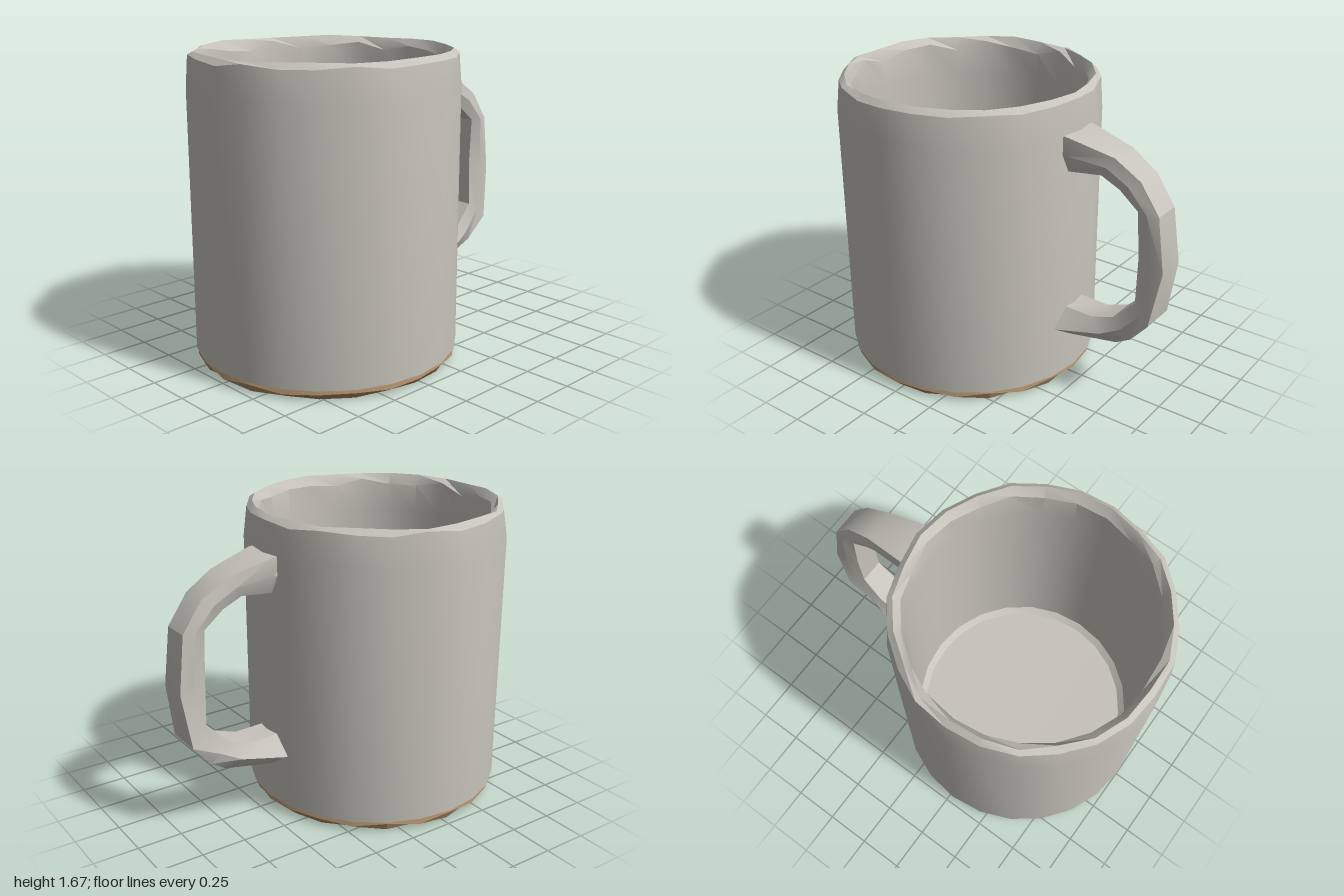
import * as THREE from 'three';
import { toCreasedNormals, mergeVertices } from 'three/addons/utils/BufferGeometryUtils.js';

const CENTRE_X = -0.28;
const SIDES = 24;

// Revolved part; profile is [radius, height] pairs
function turned(profile, crease, adjust) {
  const geo = new THREE.LatheGeometry(profile.map(([r, y]) => new THREE.Vector2(r, y)), SIDES);
  if (adjust) {
    const p = geo.attributes.position;
    for (let i = 0; i < p.count; i++) {
      const ring = i % profile.length;
      const side = Math.floor(i / profile.length) % SIDES;
      const [scale, dy] = adjust(ring, side);
      p.setXYZ(i, p.getX(i) * scale, p.getY(i) + dy, p.getZ(i) * scale);
    }
  }
  return toCreasedNormals(geo, crease);
}

// Six-sided loops joined into a closed, angular tube
function loftHandle(sections) {
  const pos = [], index = [], n = 6;
  for (const [xo, yo, wo, xi, yi, wi, wm, zc] of sections) {
    const xm = (xo + xi) / 2, ym = (yo + yi) / 2;
    pos.push(xo, yo, zc + wo, xm, ym, zc + wm, xi, yi, zc + wi,
      xi, yi, zc - wi, xm, ym, zc - wm, xo, yo, zc - wo);
  }
  for (let s = 0; s < sections.length - 1; s++) {
    for (let k = 0; k < n; k++) {
      const a = s * n + k, b = s * n + (k + 1) % n;
      index.push(a, b, a + n, b, b + n, a + n);
    }
  }
  const last = (sections.length - 1) * n;
  for (let k = 1; k < n - 1; k++) {
    index.push(0, k + 1, k, last, last + k, last + k + 1);
  }
  const geo = new THREE.BufferGeometry();
  geo.setAttribute('position', new THREE.Float32BufferAttribute(pos, 3));
  geo.setIndex(index);
  return toCreasedNormals(mergeVertices(geo), 0.45);
}

export function createModel() {
  const glaze = new THREE.MeshStandardMaterial({ color: 0xc6c3bb });
  glaze.name = 'grey glaze';
  const clay = new THREE.MeshStandardMaterial({ color: 0xa88865 });
  clay.name = 'brown clay';
  const group = new THREE.Group();
  group.name = 'mug';

  const add = (name, geo, mat, x = 0) => {
    const mesh = new THREE.Mesh(geo, mat);
    mesh.name = name;
    mesh.position.x = x;
    group.add(mesh);
  };

  // Cup: outer wall, uneven bevelled rim, inner wall and floor
  const cup = [[0.69, 0.06], [0.722, 0.06], [0.722, 1.48], [0.705, 1.645], [0.675, 1.675],
    [0.64, 1.62], [0.635, 1.45], [0.635, 0.14], [0.6, 0.11], [0, 0.1]];
  add('cup', turned(cup, 0.5, (ring, side) => {
    const wave = Math.sin(side * 2.4) * 0.6 + Math.sin(side * 4.1) * 0.4;
    if (ring === 3) return [1 + wave * 0.01, wave * 0.015];
    if (ring === 4) return [1 + wave * 0.015, -Math.abs(wave) * 0.012];
    if (ring === 5) return [1 + wave * 0.01, wave * 0.03];
    return [1, 0];
  }), glaze, CENTRE_X);

  // Unglazed foot with an irregular chamfer
  const foot = [[0, 0.01], [0.55, 0.008], [0.68, 0.005], [0.715, 0.035], [0.705, 0.06], [0, 0.06]];
  add('foot', turned(foot, 0.4, (ring, side) => {
    const wave = Math.sin(side * 2.7);
    if (ring === 2) return [1 + wave * 0.03, -0.005 + Math.max(0, wave) * 0.005];
    if (ring === 3) return [1, wave * 0.012];
    return [1, 0];
  }), clay, CENTRE_X);

  // Handle: outer x, y, half width; inner x, y, half width; middle half width; z centre
  const handle = loftHandle([
    [0.36, 1.49, 0.125, 0.36, 1.27, 0.08, 0.13, 0.015],
    [0.45, 1.48, 0.125, 0.45, 1.28, 0.08, 0.125, 0.01],
    [0.70, 1.415, 0.09, 0.62, 1.30, 0.08, 0.105, 0],
    [0.85, 1.32, 0.08, 0.73, 1.25, 0.08, 0.10, 0],
    [0.96, 1.16, 0.08, 0.84, 1.16, 0.08, 0.10, 0],
    [1.00, 0.85, 0.085, 0.85, 0.90, 0.07, 0.09, -0.01],
    [0.95, 0.54, 0.105, 0.85, 0.63, 0.07, 0.09, 0],
    [0.84, 0.41, 0.08, 0.73, 0.51, 0.08, 0.10, 0],
    [0.74, 0.34, 0.05, 0.60, 0.465, 0.08, 0.12, 0],
    [0.44, 0.265, 0.02, 0.44, 0.47, 0.08, 0.17, 0],
    [0.36, 0.24, 0.02, 0.36, 0.475, 0.08, 0.17, 0],
  ]);
  add('handle', handle, glaze);
  return group;
}
